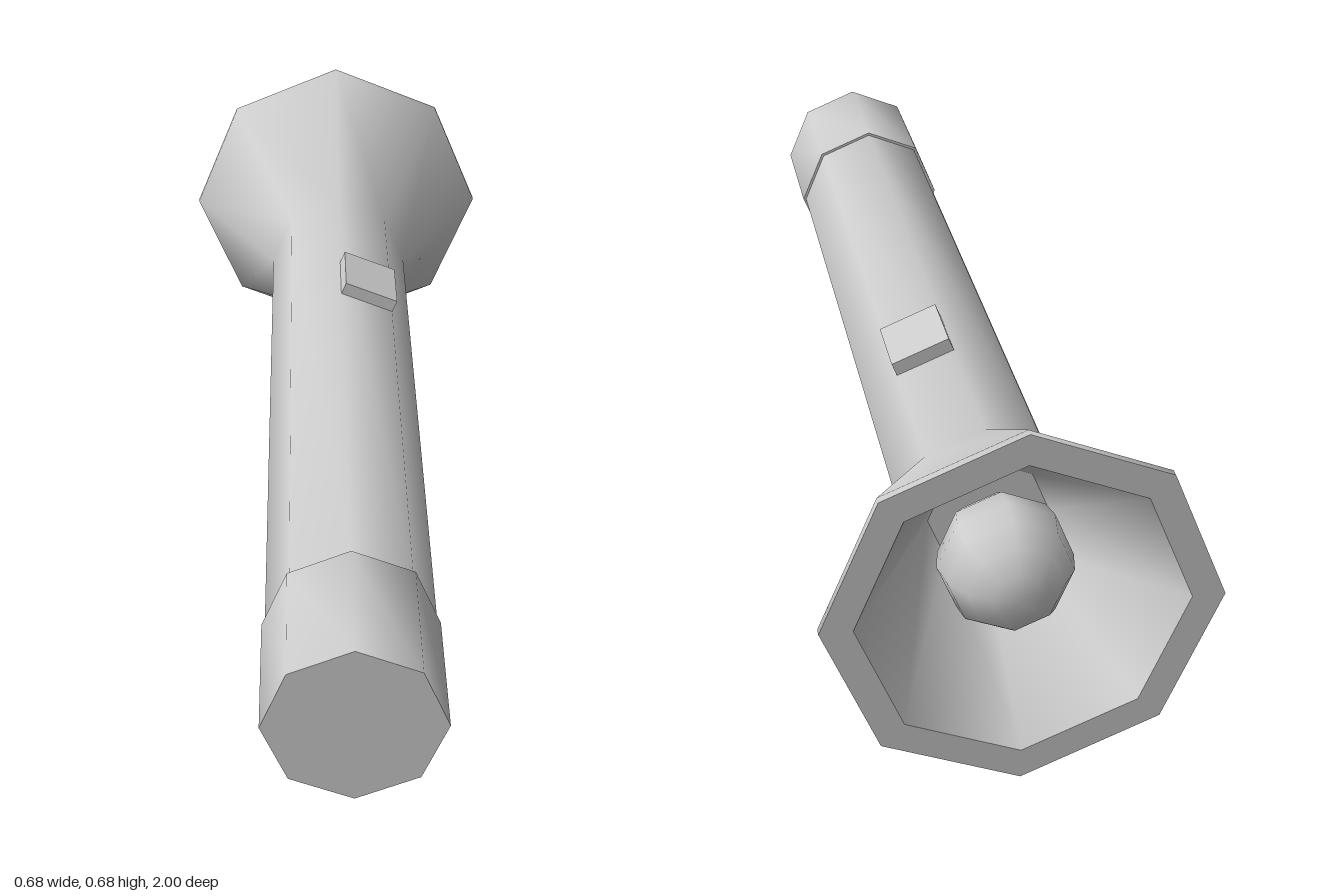
import * as THREE from 'three';
import { toCreasedNormals } from 'three/addons/utils/BufferGeometryUtils.js';

const AXIS_Y = 0.342;

export function createModel() {
  const torch = new THREE.Group();
  torch.name = 'flashlight';
  const grey = new THREE.MeshStandardMaterial({ color: 0xcccccc });
  grey.name = 'light grey';

  function add(name, geometry) {
    const mesh = new THREE.Mesh(geometry, grey);
    mesh.name = name;
    mesh.position.y = AXIS_Y;
    torch.add(mesh);
    return mesh;
  }

  // Eight-sided turned part along z, from [radius, z] pairs
  function turned(name, profile) {
    const points = profile.map(([r, z]) => new THREE.Vector2(r, z));
    const geometry = new THREE.LatheGeometry(points, 8).rotateX(Math.PI / 2);
    return add(name, toCreasedNormals(geometry, 0.9));
  }

  // Rim, flared head and handle in one smooth shell
  turned('housing', [[0.285, -1], [0.342, -1], [0.342, -0.985], [0.153, -0.66], [0.153, 0.73]]);

  // Hollow cone inside the head
  turned('reflector', [[0, -0.7], [0.11, -0.7], [0.285, -1]]);

  // Slightly wider screw cap at the front end
  turned('endCap', [[0.145, 0.725], [0.159, 0.725], [0.159, 1], [0, 1]]);

  // Bulb
  const bulb = add('bulb', new THREE.SphereGeometry(0.12, 8, 8).rotateX(Math.PI / 2));
  bulb.position.z = -0.845;

  // Sliding switch lying on the facet left of the top edge
  const tilt = Math.PI / 8;
  const button = add('switch', new THREE.BoxGeometry(0.118, 0.036, 0.145));
  button.position.set(Math.sin(tilt) * 0.15, AXIS_Y + Math.cos(tilt) * 0.15, -0.288);
  button.rotation.z = -tilt;

  return torch;
}
